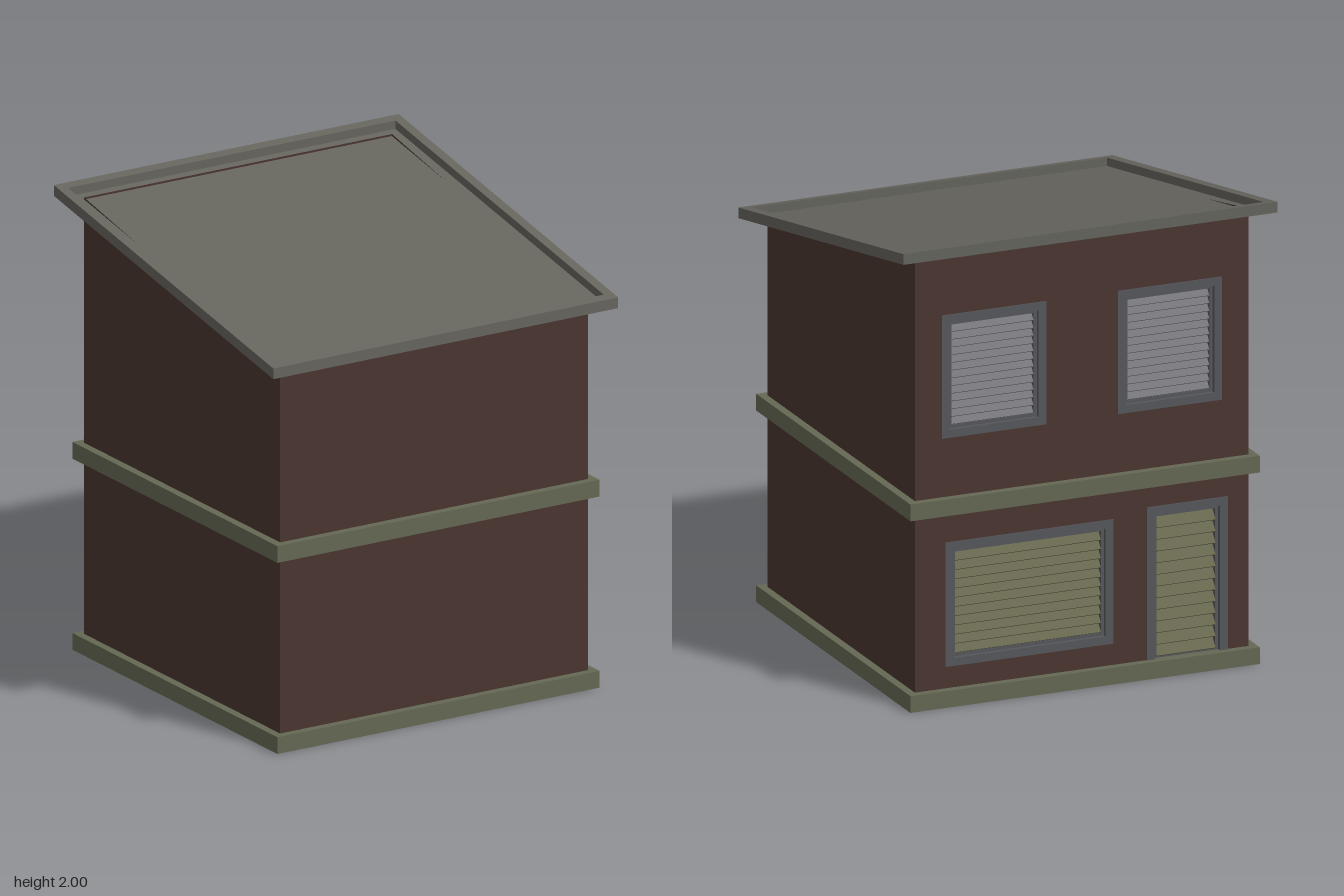
import * as THREE from 'three';

const mat = (color) => new THREE.MeshStandardMaterial({ color, flatShading: true, side: THREE.DoubleSide });
const WALL = mat(0x4a3530), BAND = mat(0x646852), ROOF = mat(0x65645d);
const FRAME = mat(0x55575b), GREY_SLAT = mat(0x77777b), OLIVE_SLAT = mat(0x68674f);

const HALF = 0.745; // half width of the walls
const SLOPE = 0.1856; // roof rise towards the back

function add(parent, name, geometry, material, x = 0, y = 0, z = 0) {
  const mesh = new THREE.Mesh(geometry, material);
  mesh.name = name;
  mesh.position.set(x, y, z);
  parent.add(mesh);
  return mesh;
}

function rect(Type, x0, y0, x1, y1) {
  return new Type([[x0, y0], [x1, y0], [x1, y1], [x0, y1]].map(([x, y]) => new THREE.Vector2(x, y)));
}

// Rectangular frame in the xy plane, extruded along +z
function frameGeometry(w, h, border, depth) {
  const shape = rect(THREE.Shape, -w / 2, -h / 2, w / 2, h / 2);
  shape.holes.push(rect(THREE.Path, -w / 2 + border, -h / 2 + border, w / 2 - border, h / 2 - border));
  return new THREE.ExtrudeGeometry(shape, { depth, bevelEnabled: false });
}

// Square ring lying flat, its underside at y = 0
const ringGeometry = (half, border, height) =>
  frameGeometry(half * 2, half * 2, border, height).rotateX(-Math.PI / 2);

// Shears a flat geometry so it climbs towards the back
function pitch(geometry) {
  const p = geometry.attributes.position;
  for (let i = 0; i < p.count; i++) p.setY(i, p.getY(i) - SLOPE * p.getZ(i));
  geometry.computeVertexNormals();
  return geometry;
}

// Louvred openings in the back wall
const OPENINGS = [
  { name: 'upperRightWindow', x0: -0.625, x1: -0.16, y0: 1.15, y1: 1.68, slats: 13, material: GREY_SLAT },
  { name: 'upperLeftWindow', x0: 0.16, x1: 0.625, y0: 1.15, y1: 1.68, slats: 13, material: GREY_SLAT },
  { name: 'door', x0: -0.65, x1: -0.29, y0: 0.03, y1: 0.73, slats: 12, material: OLIVE_SLAT },
  { name: 'lowerWindow', x0: -0.14, x1: 0.61, y0: 0.165, y1: 0.70, slats: 11, material: OLIVE_SLAT },
];

function louvre({ name, x0, x1, y0, y1, slats, material }) {
  const group = new THREE.Group();
  group.name = name;
  const w = x1 - x0, h = y1 - y0;
  group.position.set((x0 + x1) / 2, (y0 + y1) / 2, -HALF);
  add(group, 'outerFrame', frameGeometry(w, h, 0.035, 0.05), FRAME, 0, 0, -0.005);
  add(group, 'innerFrame', frameGeometry(w - 0.07, h - 0.07, 0.014, 0.035), FRAME, 0, 0, 0.012);
  const innerW = w - 0.098, innerH = h - 0.098, step = innerH / slats;
  const slat = new THREE.BoxGeometry(innerW, step * 1.25, 0.006).rotateX(0.7);
  for (let i = 0; i < slats; i++) {
    add(group, 'slat', slat, material, 0, -innerH / 2 + step * (i + 0.5), 0.03);
  }
  return group;
}

export function createModel() {
  const model = new THREE.Group();
  const FRONT_TOP = 1.648, BACK_TOP = 1.956;

  // Thin hollow walls
  add(model, 'frontWall', new THREE.ShapeGeometry(rect(THREE.Shape, -HALF, 0.01, HALF, FRONT_TOP)), WALL, 0, 0, HALF);

  const back = rect(THREE.Shape, -HALF, 0.01, HALF, BACK_TOP);
  for (const o of OPENINGS) {
    back.holes.push(rect(THREE.Path, o.x0 + 0.01, o.y0 + 0.01, o.x1 - 0.01, o.y1 - 0.01));
  }
  const backGeometry = new THREE.ShapeGeometry(back);
  // Turn the winding so the face looks backwards
  backGeometry.index.array.reverse();
  backGeometry.computeVertexNormals();
  add(model, 'backWall', backGeometry, WALL, 0, 0, -HALF);

  const side = new THREE.Shape([
    new THREE.Vector2(-HALF, 0.01), new THREE.Vector2(HALF, 0.01),
    new THREE.Vector2(HALF, BACK_TOP), new THREE.Vector2(-HALF, FRONT_TOP),
  ]);
  const leftGeometry = new THREE.ShapeGeometry(side).rotateY(Math.PI / 2);
  add(model, 'leftWall', leftGeometry, WALL, HALF);
  const rightGeometry = leftGeometry.clone();
  rightGeometry.index.array.reverse();
  rightGeometry.computeVertexNormals();
  add(model, 'rightWall', rightGeometry, WALL, -HALF);

  // Base and storey bands, reaching inside and outside the walls
  add(model, 'baseBand', ringGeometry(0.78, 0.075, 0.072), BAND);
  add(model, 'storeyBand', ringGeometry(0.78, 0.075, 0.072), BAND, 0, 0.825, 0);

  // Windows and door
  for (const o of OPENINGS) model.add(louvre(o));

  // Sloping tray roof with a raised rim
  const roof = new THREE.Group();
  roof.name = 'roof';
  roof.position.y = 1.799;
  add(roof, 'roofRim', pitch(ringGeometry(0.835, 0.043, 0.046)), ROOF);
  add(roof, 'roofPanel', pitch(new THREE.BoxGeometry(1.59, 0.01, 1.59).translate(0, 0.005, 0)), ROOF);
  model.add(roof);

  return model;
}
